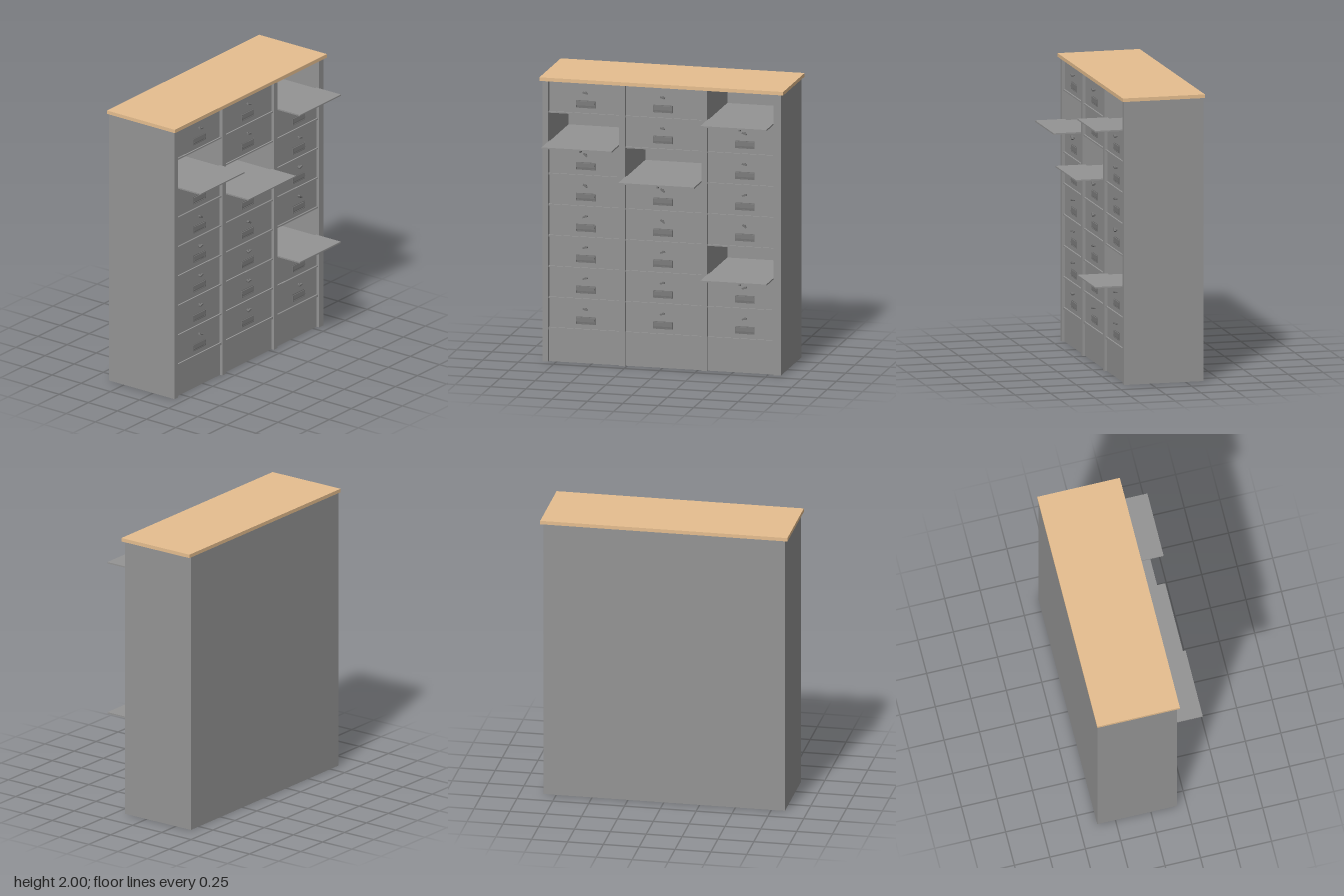
import * as THREE from 'three';

const paint = new THREE.MeshStandardMaterial({ color: 0x949494, side: THREE.DoubleSide });
const metal = new THREE.MeshStandardMaterial({ color: 0x747474, side: THREE.DoubleSide });
const wood = new THREE.MeshStandardMaterial({ color: 0xe6be8f });

// Box given by its limits on each axis
function box(name, x0, x1, y0, y1, z0, z1, material = paint) {
  const mesh = new THREE.Mesh(new THREE.BoxGeometry(x1 - x0, y1 - y0, z1 - z0), material);
  mesh.position.set((x0 + x1) / 2, (y0 + y1) / 2, (z0 + z1) / 2);
  mesh.name = name;
  return mesh;
}

// Shallow hooded pull, open below, with a thin back plate
function createPull() {
  const pull = new THREE.Group();
  pull.name = 'pull';
  const w = 0.137, inner = w - 0.006;
  pull.add(box('pullPlate', -w / 2, w / 2, -0.026, 0.026, 0, 0.002, metal));
  // Hood profile: x is the distance from the door, y is up
  const profile = new THREE.Shape([
    [0, 0.023], [0.006, 0.02], [0.011, -0.008], [0.009, -0.008], [0.005, 0.017], [0, 0.02],
  ].map(([x, y]) => new THREE.Vector2(x, y)));
  const hood = new THREE.Mesh(
    new THREE.ExtrudeGeometry(profile, { depth: inner, bevelEnabled: false }), metal);
  hood.rotation.y = -Math.PI / 2;
  hood.position.x = inner / 2;
  hood.name = 'pullHood';
  pull.add(hood);
  for (const s of [-1, 1]) {
    const x = s * (w / 2 - 0.003);
    pull.add(box('pullCheek', x - 0.003, x + 0.003, -0.022, 0.02, 0, 0.007, metal));
  }
  pull.add(box('pullLip', -w / 2, w / 2, -0.026, -0.022, 0, 0.006, metal));
  return pull;
}

// Door hinged at its lower edge, outer face on local z = 0
function createDoor(width, height, handleX, turn) {
  const door = new THREE.Group();
  door.name = 'door';
  door.add(box('doorPanel', -width / 2, width / 2, 0, height, -0.01, 0));
  const pull = createPull();
  pull.position.set(handleX, 0.063, 0);
  door.add(pull);
  // Lock: a round barrel carrying a small turned latch
  const barrel = new THREE.Mesh(new THREE.CylinderGeometry(0.008, 0.008, 0.012, 16), metal);
  barrel.rotation.x = Math.PI / 2;
  barrel.position.set(handleX, 0.145, 0.006);
  barrel.name = 'lockBarrel';
  const latch = box('lockLatch', -0.017, 0.017, -0.005, 0.005, 0.01, 0.025, metal);
  latch.position.x = handleX;
  latch.position.y = 0.145;
  latch.rotation.z = turn;
  door.add(barrel, latch);
  return door;
}

export function createModel() {
  const group = new THREE.Group();
  const back = -0.378, post = 0.185, face = 0.165, top = 1.975;
  const base = 0.233, rows = 8, step = 0.2174;

  // Worktop, back, floor and ceiling
  group.add(box('worktop', -0.863, 0.861, top, 2, -0.382, 0.2, wood));
  group.add(box('backPanel', -0.845, 0.84, 0, top, back, back + 0.01));
  group.add(box('floorPanel', -0.84, 0.835, 0, 0.01, back + 0.01, face));
  group.add(box('ceilingPanel', -0.84, 0.835, top - 0.006, top, back + 0.01, 0.175));

  // Outer walls and dividers
  for (const [x0, x1] of [[-0.845, -0.805], [-0.305, -0.262], [0.28, 0.318], [0.79, 0.84]]) {
    group.add(box('upright', x0, x1, 0, top, back + 0.01, post));
  }

  // Columns: left edge, right edge, pull position, rows that stand open
  const columns = [
    [-0.805, -0.305, -0.544, [6]],
    [-0.262, 0.28, 0.003, [5]],
    [0.318, 0.79, 0.582, [2, 7]],
  ];
  const turns = [-0.3, 0.25, 0.2, 0.3, -0.6, -0.7, 0.25, -0.2];
  columns.forEach(([x0, x1, handle, open], c) => {
    const mid = (x0 + x1) / 2;
    group.add(box('plinth', x0, x1, 0, base, face - 0.01, face));
    for (let r = 0; r < rows; r++) {
      const y = base + r * step;
      // Shelf whose front edge stands proud of the doors
      const half = r === 0 ? 0.008 : 0.005;
      group.add(box('shelf', x0, x1, y - half, y + half, back + 0.01, 0.176));
      const isOpen = open.includes(r);
      const turn = isOpen ? Math.PI / 2 : turns[(r + c) % rows];
      const door = createDoor(x1 - x0 - 0.006, 0.211, handle - mid, turn);
      door.position.set(mid, y + 0.004, face);
      if (isOpen) {
        door.rotation.x = Math.PI / 2;
        door.name = 'openDoor';
      }
      group.add(door);
    }
  });
  return group;
}
